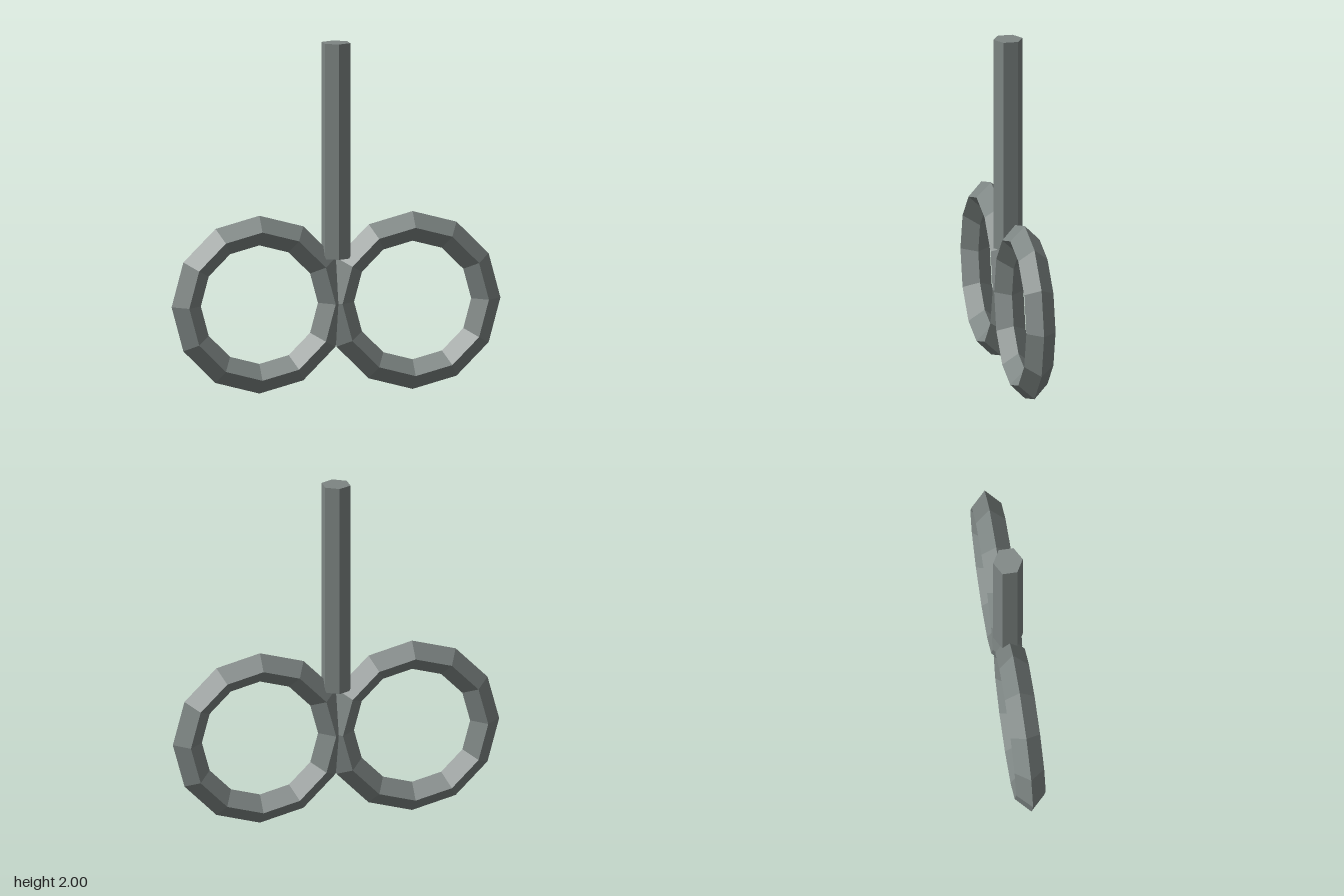
import * as THREE from 'three';

export function createModel() {
  const group = new THREE.Group();
  const metal = new THREE.MeshStandardMaterial({ color: 0x7d8583, flatShading: true });
  metal.name = 'grey metal';

  const tube = 0.085;
  const ringRadius = 0.425;

  // Two faceted finger rings side by side, diamond in section
  const ringGeometry = new THREE.TorusGeometry(ringRadius, tube, 4, 12);
  for (const [name, side] of [['leftRing', 1], ['rightRing', -1]]) {
    const ring = new THREE.Mesh(ringGeometry, metal);
    ring.name = name;
    ring.position.set(side * 0.445, ringRadius + tube, 0);
    group.add(ring);
  }

  // Hexagonal rod rising from between the rings
  const bottom = 0.765;
  const top = 2;
  const rod = new THREE.Mesh(new THREE.CylinderGeometry(tube, tube, top - bottom, 6), metal);
  rod.name = 'rod';
  rod.position.y = (top + bottom) / 2;
  group.add(rod);

  return group;
}
